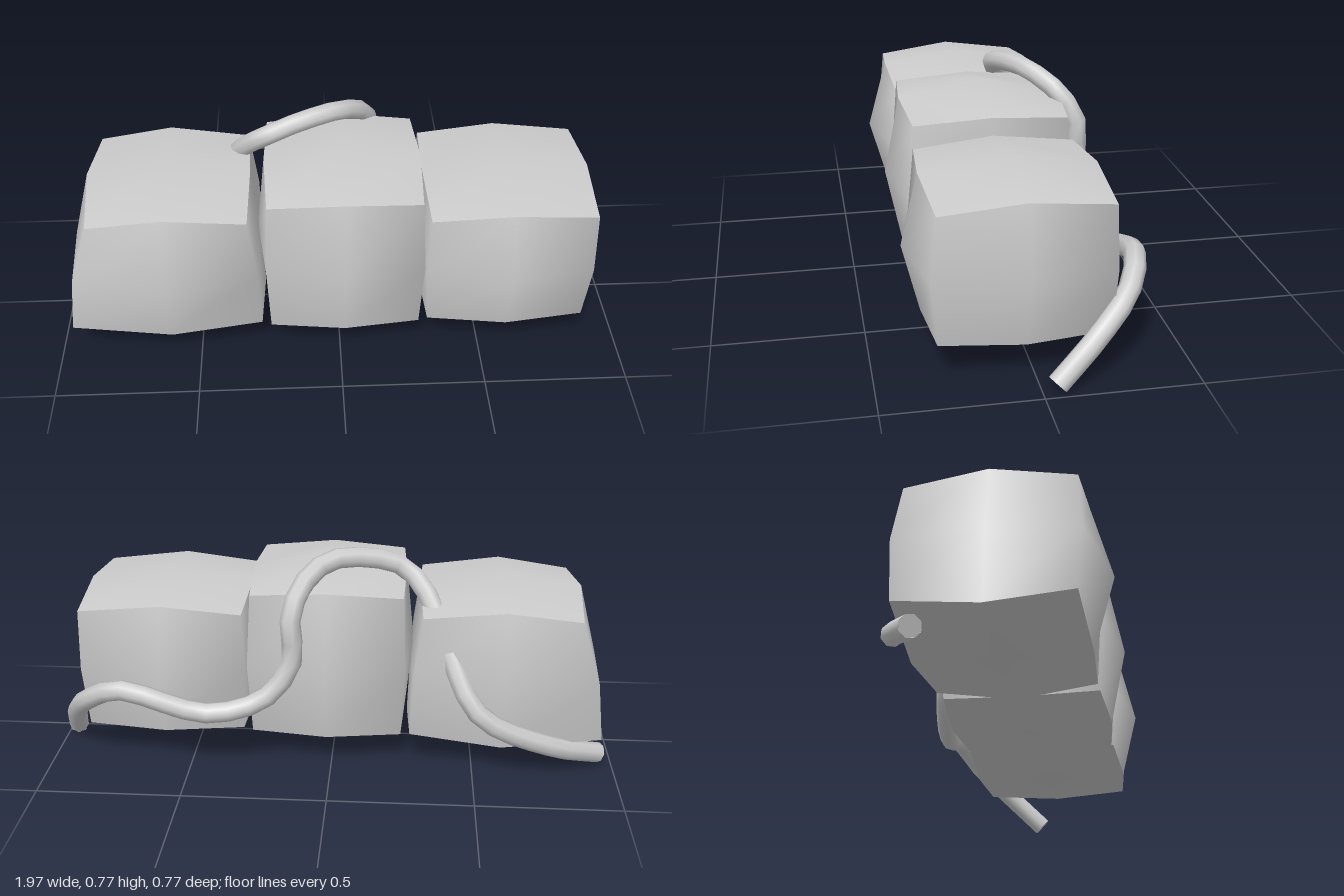
import * as THREE from 'three';

const grey = new THREE.MeshStandardMaterial({ color: 0xcccccc, side: THREE.DoubleSide });
grey.name = 'light grey';

// Blocks: for each side, the distance at [corner, edge middle, face centre].
// skew shifts the low-x and high-x sides as the height goes from middle to top.
const blocks = [
  { name: 'leftBlock', skew: [0, 0.007],
    x: [[0.31, 0.30, 0.285], [0.87, 0.88, 0.935]],
    y: [[0.13, 0.113, 0.098], [0.56, 0.588, 0.63]],
    z: [[-0.24, -0.25, -0.31], [0.305, 0.325, 0.382]] },
  { name: 'middleBlock', skew: [0, 0],
    x: [[-0.245, -0.255, -0.285], [0.28, 0.293, 0.30]],
    y: [[0.115, 0.105, 0.075], [0.63, 0.648, 0.705]],
    z: [[-0.23, -0.25, -0.31], [0.30, 0.32, 0.375]] },
  { name: 'rightBlock', skew: [0.048, -0.018],
    x: [[-0.90, -0.92, -0.94], [-0.295, -0.285, -0.275]],
    y: [[0.125, 0.09, 0.083], [0.565, 0.598, 0.635]],
    z: [[-0.245, -0.26, -0.315], [0.295, 0.31, 0.38]] },
];

// A cube with two by two faces per side, puffed out at its centres
function puffyBlock(b) {
  const geo = new THREE.BoxGeometry(2, 2, 2, 2, 2, 2);
  const pos = geo.attributes.position;
  const keys = [];
  for (let v = 0; v < pos.count; v++) {
    const g = [pos.getX(v), pos.getY(v), pos.getZ(v)].map(Math.round);
    const level = 3 - g.filter((n) => n !== 0).length;
    const p = [b.x, b.y, b.z].map((side, a) =>
      g[a] < 0 ? side[0][level] : g[a] > 0 ? side[1][level] : (side[0][0] + side[1][0]) / 2);
    if (g[0] !== 0) p[0] += b.skew[g[0] < 0 ? 0 : 1] * g[1];
    pos.setXYZ(v, ...p);
    // The four walls blend together; top and bottom keep a crease
    const face = Math.floor(v / 9);
    keys.push((face === 2 || face === 3 ? face : 'wall') + g.map((n) => n + 1).join());
  }
  geo.computeVertexNormals();
  const normal = geo.attributes.normal;
  const sums = {};
  keys.forEach((k, v) => {
    sums[k] ??= new THREE.Vector3();
    sums[k].add(new THREE.Vector3().fromBufferAttribute(normal, v));
  });
  keys.forEach((k, v) => {
    const n = sums[k].clone().normalize();
    normal.setXYZ(v, n.x, n.y, n.z);
  });
  return geo;
}

// Cord draped behind the outer blocks and over the middle one
const cordPath = [
  [0.968, 0.022, -0.045], [0.925, 0.15, -0.18], [0.85, 0.25, -0.29],
  [0.72, 0.315, -0.348], [0.42, 0.235, -0.345], [0.22, 0.29, -0.32],
  [0.13, 0.42, -0.30], [0.135, 0.57, -0.295], [0.10, 0.67, -0.23],
  [0.01, 0.73, -0.14], [-0.15, 0.718, -0.075], [-0.25, 0.68, -0.06],
  [-0.33, 0.60, -0.12], [-0.40, 0.45, -0.22], [-0.51, 0.25, -0.325],
  [-0.77, 0.11, -0.275], [-0.95, 0.04, -0.18],
];

export function createModel() {
  const model = new THREE.Group();
  for (const b of blocks) {
    const mesh = new THREE.Mesh(puffyBlock(b), grey);
    mesh.name = b.name;
    model.add(mesh);
  }

  const curve = new THREE.CatmullRomCurve3(
    cordPath.map((p) => new THREE.Vector3(...p)), false, 'centripetal');
  const cord = new THREE.Mesh(new THREE.TubeGeometry(curve, 40, 0.036, 8), grey);
  cord.name = 'cord';
  model.add(cord);

  // Flat caps on both cord ends
  for (const t of [0, 1]) {
    const cap = new THREE.Mesh(new THREE.CircleGeometry(0.036, 8), grey);
    const out = curve.getTangent(t).multiplyScalar(t ? 1 : -1);
    cap.quaternion.setFromUnitVectors(new THREE.Vector3(0, 0, 1), out);
    cap.position.copy(curve.getPoint(t));
    cap.name = t ? 'rightCordEnd' : 'leftCordEnd';
    model.add(cap);
  }
  return model;
}
